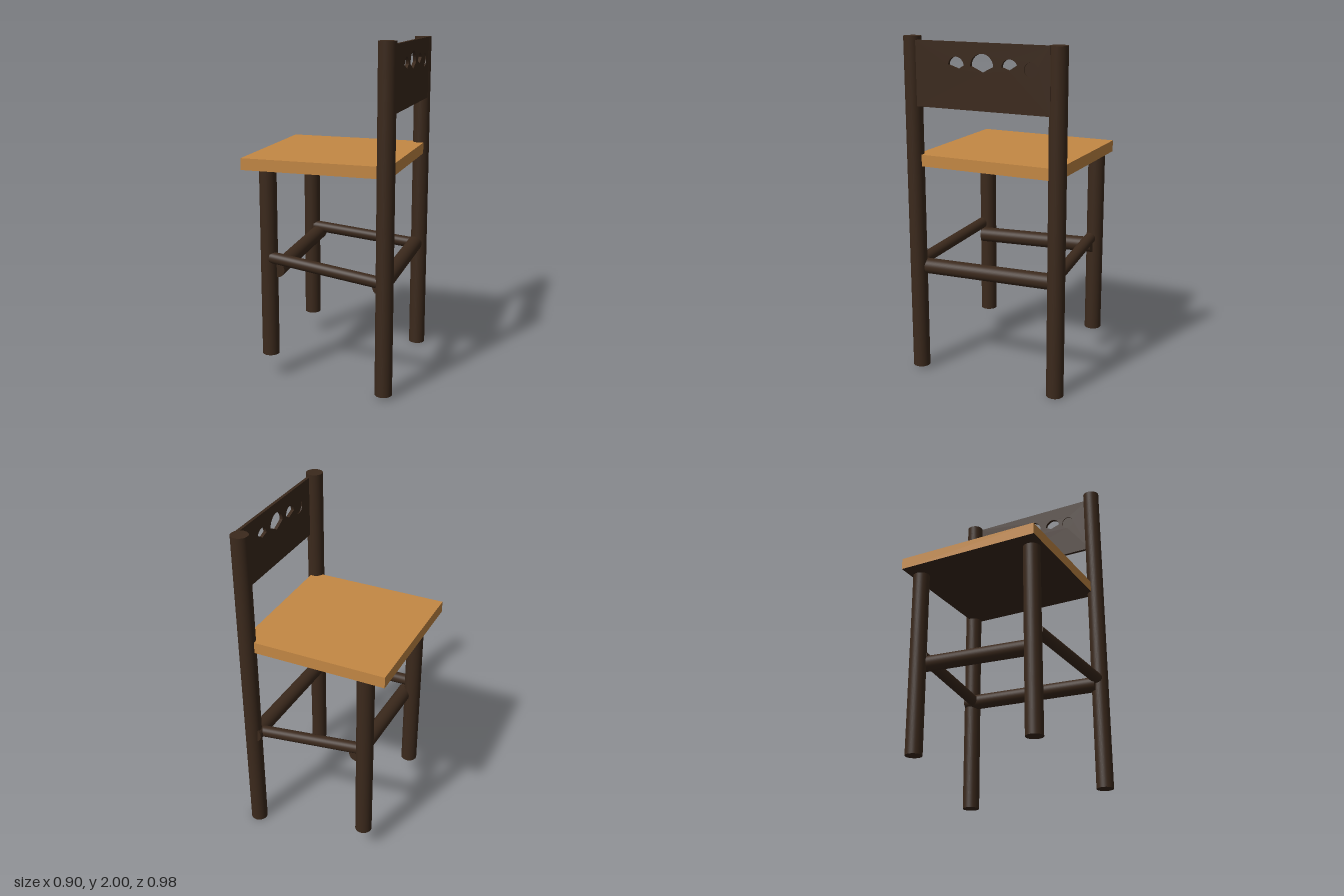
import * as THREE from 'three';

export function createModel() {
  const group = new THREE.Group();
  const darkWood = new THREE.MeshStandardMaterial({ color: 0x3b291c });
  const seatWood = new THREE.MeshStandardMaterial({ color: 0xc48844 });
  darkWood.name = 'darkWood';
  seatWood.name = 'seatWood';

  const add = (name, geometry, material) => {
    const mesh = new THREE.Mesh(geometry, material);
    mesh.name = name;
    group.add(mesh);
    return mesh;
  };

  // Round bar running between two points
  const bar = (name, from, to, radius) => {
    const a = new THREE.Vector3(...from);
    const b = new THREE.Vector3(...to);
    const mesh = add(name, new THREE.CylinderGeometry(radius, radius, a.distanceTo(b), 40), darkWood);
    mesh.position.copy(a).add(b).multiplyScalar(0.5);
    mesh.quaternion.setFromUnitVectors(new THREE.Vector3(0, 1, 0), b.sub(a).normalize());
  };

  // Tall back posts and short front legs; the chair faces -x
  bar('backPostNear', [0.4, 0.02, 0.44], [0.4, 2, 0.44], 0.05);
  bar('backPostFar', [0.39, 0, -0.44], [0.39, 1.98, -0.44], 0.05);
  bar('frontLegNear', [-0.32, 0.145, 0.35], [-0.32, 1.27, 0.35], 0.05);
  bar('frontLegFar', [-0.32, 0.145, -0.395], [-0.32, 1.27, -0.395], 0.05);

  // Stretchers
  bar('backStretcher', [0.372, 0.65, 0.43], [0.372, 0.68, -0.467], 0.046);
  bar('frontStretcher', [-0.27, 0.67, 0.36], [-0.27, 0.705, -0.4], 0.046);
  bar('sideStretcherNear', [-0.3, 0.747, 0.37], [0.4, 0.68, 0.44], 0.034);
  bar('sideStretcherFar', [-0.3, 0.747, -0.38], [0.39, 0.675, -0.41], 0.034);

  // Seat board with a dark underside
  const seatFaces = [seatWood, seatWood, seatWood, darkWood, seatWood, seatWood];
  add('seat', new THREE.BoxGeometry(0.867, 0.068, 0.878), seatFaces).position.set(-0.0185, 1.299, -0.01);

  // Back panel: three layers, all with fan-shaped cut-outs; each outer layer also has a round pocket
  const fans = [
    { u: -0.148, r: 0.048, start: 0.05, end: 3.1, tip: [-0.135, 1.834] },
    { u: 0.01, r: 0.07, start: 0.05, end: 3.14, tip: [0.01, 1.82] },
    { u: 0.175, r: 0.048, start: 0.4, end: 3.1, tip: [0.172, 1.84] },
  ];
  const panelLayer = (name, x, depth, pocketU) => {
    const shape = new THREE.Shape();
    shape.moveTo(-0.41, 1.613).lineTo(0.41, 1.613).lineTo(0.41, 1.98).lineTo(-0.41, 1.98).closePath();
    for (const f of fans) {
      const hole = new THREE.Path();
      hole.absarc(f.u, 1.852, f.r, f.start, f.end, false);
      hole.lineTo(...f.tip);
      hole.closePath();
      shape.holes.push(hole);
    }
    if (pocketU !== undefined) {
      const hole = new THREE.Path();
      hole.absarc(pocketU, 1.85, 0.04, 0, Math.PI * 2, false);
      shape.holes.push(hole);
    }
    const geometry = new THREE.ExtrudeGeometry(shape, { depth, bevelEnabled: false, curveSegments: 24 });
    const mesh = add(name, geometry, darkWood);
    mesh.rotation.y = Math.PI / 2;
    mesh.position.x = x;
  };
  panelLayer('backPanelFront', 0.413, 0.006, -0.26);
  panelLayer('backPanelCore', 0.419, 0.007);
  panelLayer('backPanelRear', 0.426, 0.006, 0.3);

  return group;
}
